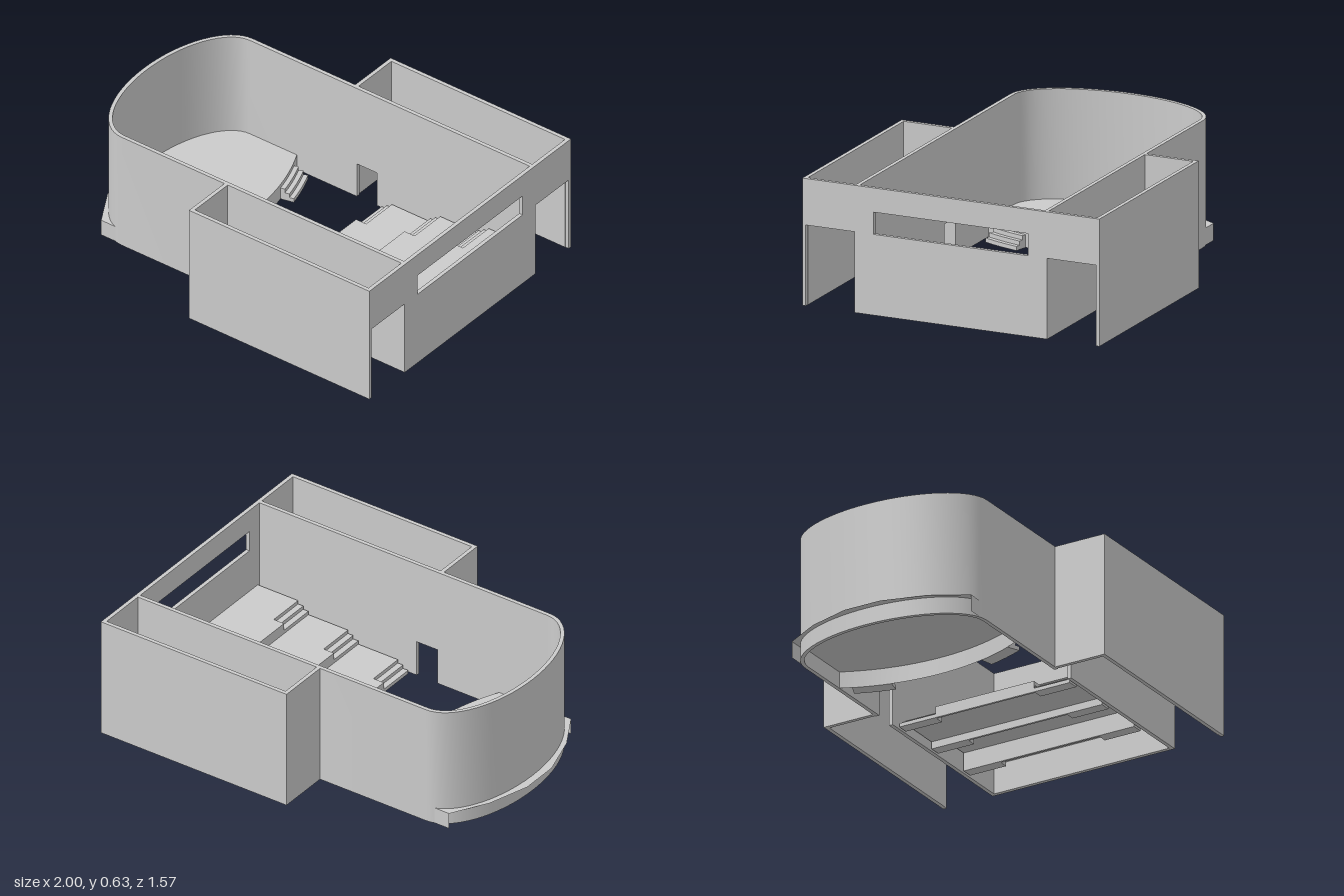
import * as THREE from 'three';
import { toCreasedNormals } from 'three/addons/utils/BufferGeometryUtils.js';

const H = 0.63;        // wall height
const T = 0.02;        // wall thickness
const HALL = 0.508;    // outer half width of the hall
const ANNEX = 0.783;   // outer half width over the annexes
const STAGE = 0.085;   // stage height

export function createModel() {
  const model = new THREE.Group();
  const mat = new THREE.MeshStandardMaterial({ color: 0xcccccc });
  const thin = new THREE.MeshStandardMaterial({ color: 0xcccccc, side: THREE.DoubleSide });

  const add = (name, geo, material = mat) => {
    const mesh = new THREE.Mesh(geo, material);
    mesh.name = name;
    model.add(mesh);
    return mesh;
  };
  // box given by its limits on each axis
  const box = (name, x0, x1, y0, y1, z0, z1) =>
    add(name, new THREE.BoxGeometry(x1 - x0, y1 - y0, z1 - z0)
      .translate((x0 + x1) / 2, (y0 + y1) / 2, (z0 + z1) / 2));
  // floor plan of [x, z] points raised from y0 to y1
  const raise = (name, pts, y0, y1) => {
    const shape = new THREE.Shape(pts.map(([x, z]) => new THREE.Vector2(x, -z)));
    const geo = new THREE.ExtrudeGeometry(shape, { depth: y1 - y0, bevelEnabled: false });
    geo.rotateX(-Math.PI / 2).translate(0, y0, 0);
    return add(name, toCreasedNormals(geo, 0.5));
  };

  // Hall wall with its rounded stage end, up to the side doors
  const apse = (a, b) => {
    const pts = [];
    for (let i = 0; i <= 32; i++) {
      const t = Math.PI / 2 + Math.PI * i / 32;
      pts.push([-0.7 + a * Math.cos(t), b * Math.sin(t)]);
    }
    return pts;
  };
  const outer = [[-0.06, HALL], ...apse(0.262, HALL), [-0.06, -HALL]];
  const inner = [[-0.06, HALL - T], ...apse(0.242, HALL - T), [-0.06, -HALL + T]];
  raise('hallWall', [...outer, ...inner.reverse()], 0, H);

  // Side walls past the doors, door lintels and the annex walls
  for (const s of [1, -1]) {
    const side = (name, x0, x1, y0, y1, a, b) =>
      box(name, x0, x1, y0, y1, Math.min(s * a, s * b), Math.max(s * a, s * b));
    side('sideWall', 0.06, 0.975, 0, H, HALL - T, HALL);
    side('doorLintel', -0.06, 0.06, 0.19, H, HALL - T, HALL);
    side('annexEndWall', -0.085, -0.065, 0, H, HALL, ANNEX);
    side('annexSideWall', -0.085, 0.975, 0, H, ANNEX - T, ANNEX);
  }

  // Rear wall with a wide window and an open gateway into each annex
  const rear = new THREE.Shape([
    [-ANNEX, 0], [-0.765, 0], [-0.765, 0.4], [-HALL, 0.4], [-HALL, 0], [HALL, 0],
    [HALL, 0.4], [0.765, 0.4], [0.765, 0], [ANNEX, 0], [ANNEX, H], [-ANNEX, H],
  ].map(p => new THREE.Vector2(...p)));
  rear.holes.push(new THREE.Path(
    [[-0.408, 0.4], [-0.408, 0.51], [0.408, 0.51], [0.408, 0.4]].map(p => new THREE.Vector2(...p))));
  add('rearWall', new THREE.ExtrudeGeometry(rear, { depth: T, bevelEnabled: false })
    .rotateY(Math.PI / 2).translate(0.975, 0, 0));

  // Stage: a thin deck with a curved front edge and a skirt, hollow below
  const CX = -1.405, R = 1.1;
  const arc = (r, a0, a1, n) => Array.from({ length: n + 1 }, (_, i) => {
    const a = a0 + (a1 - a0) * i / n;
    return [CX + r * Math.cos(a), r * Math.sin(a)];
  });
  const edge = Math.asin(0.5 / R);
  const front = arc(R, -edge, edge, 24);
  const back = [[-0.83, 0.5], [-0.935, 0.315], [-1, 0.1], [-1, -0.1], [-0.935, -0.315], [-0.83, -0.5]];
  const deck = new THREE.ShapeGeometry(
    new THREE.Shape([...front, ...back].map(([x, z]) => new THREE.Vector2(x, -z))));
  add('stageDeck', deck.rotateX(-Math.PI / 2).translate(0, STAGE, 0), thin);

  // upright strip along a path of [x, z] points
  const skirt = (name, pts, material) => {
    const pos = [];
    for (let i = 0; i + 1 < pts.length; i++) {
      const [[ax, az], [bx, bz]] = [pts[i], pts[i + 1]];
      pos.push(ax, 0, az, bx, STAGE, bz, bx, 0, bz, ax, 0, az, ax, STAGE, az, bx, STAGE, bz);
    }
    const geo = new THREE.BufferGeometry();
    geo.setAttribute('position', new THREE.Float32BufferAttribute(pos, 3));
    geo.computeVertexNormals();
    add(name, toCreasedNormals(geo, 0.2), material);
  };
  skirt('stageFront', front, thin);
  skirt('stageBackRim', [...back].reverse(), mat);   // faces the hollow below the deck
  skirt('stageSide', [front[24], back[0]], thin);
  skirt('stageSide', [back[5], front[0]], thin);

  // Curved steps up to each end of the stage front
  for (const s of [1, -1]) {
    for (let k = 0; k < 3; k++) {
      const r0 = R + k * 0.023, r1 = r0 + 0.023;
      const pts = [...arc(r0, 0.23, 0.405, 6), ...arc(r1, 0.23, 0.405, 6).reverse()];
      raise('stageStep', pts.map(([x, z]) => [x, s * z]), 0, STAGE * (3 - k) / 4);
    }
  }

  // Seating tiers: tread, riser, and small aisle steps cut into both ends
  const RISE = 0.057, W = 0.475, AISLE = 0.275;
  [0.1, 0.39, 0.68].forEach((x, i) => {
    const y = RISE * (i + 1);
    const end = i < 2 ? x + 0.29 : 0.975;
    box('tierTread', x + 0.06, end, y - 0.02, y, -W, W);
    box('tierNose', x, x + 0.06, y - 0.02, y, -AISLE, AISLE);
    box('tierRiser', x, x + 0.012, 0, y - 0.02, -AISLE, AISLE);
    for (const s of [1, -1]) {
      for (let k = 0; k < 2; k++) {
        const top = RISE * (i + (k + 1) / 3);
        const z = [s * AISLE, s * W].sort((a, b) => a - b);
        box('aisleStep', x + k * 0.03, x + (k + 1) * 0.03, 0, top, z[0], z[1]);
      }
    }
  });

  return model;
}
